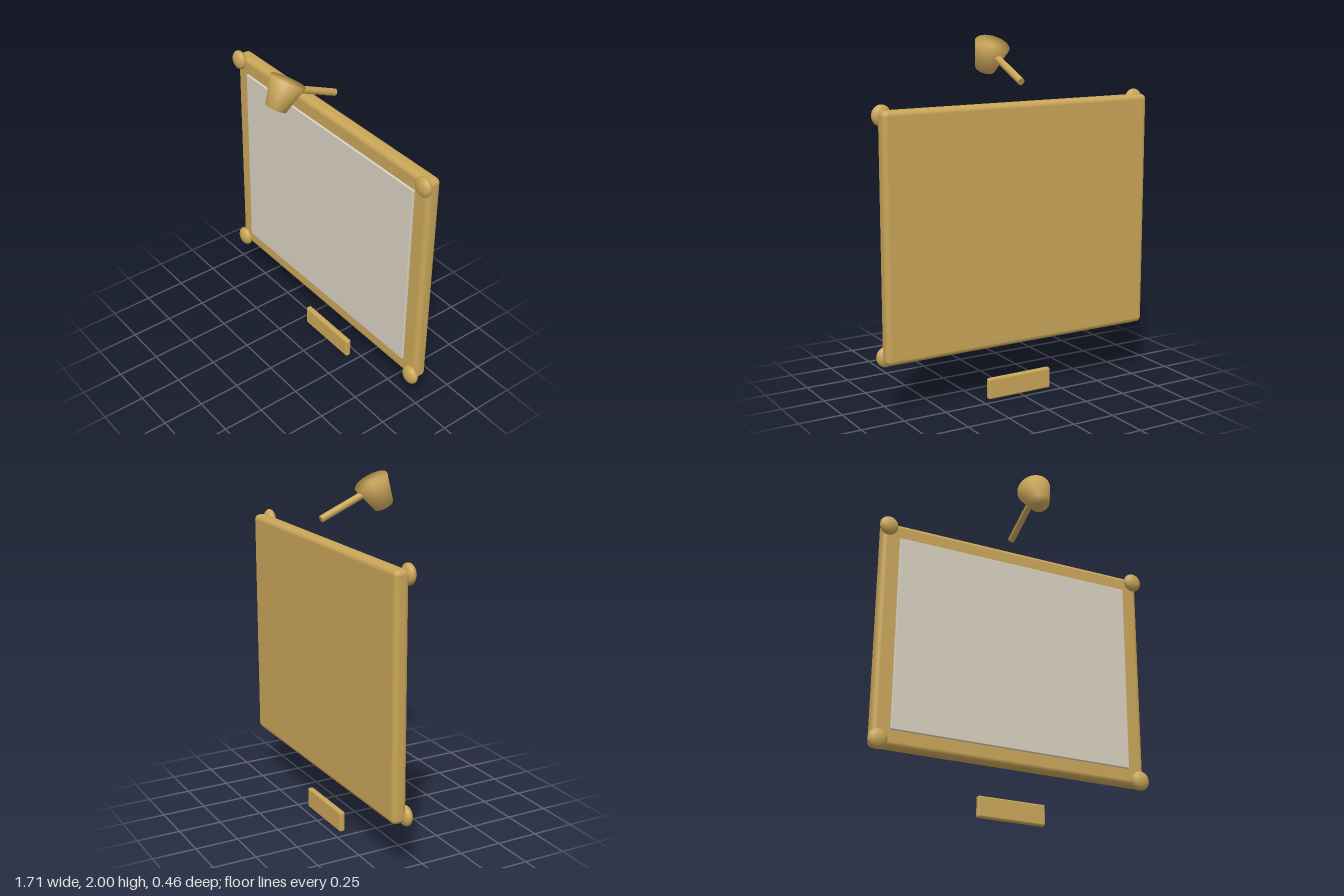
import * as THREE from 'three';
import { RoundedBoxGeometry } from 'three/addons/geometries/RoundedBoxGeometry.js';

export function createModel() {
  const group = new THREE.Group();
  const gold = new THREE.MeshStandardMaterial({ name: 'gold', color: 0xc9a558 });
  const canvasColor = new THREE.MeshStandardMaterial({ name: 'canvas', color: 0xd8d0c0 });

  const add = (name, geometry, material, x, y, z) => {
    const mesh = new THREE.Mesh(geometry, material);
    mesh.name = name;
    mesh.position.set(x, y, z);
    group.add(mesh);
    return mesh;
  };

  // Rounded frame slab with the picture panel set slightly proud of it
  add('frame', new RoundedBoxGeometry(1.664, 1.352, 0.084, 4, 0.03), gold, 0, 0.98, -0.191);
  add('canvas', new RoundedBoxGeometry(1.46, 1.16, 0.04, 2, 0.005), canvasColor, 0, 0.98, -0.157);

  // Flattened corner knobs
  const knob = new THREE.SphereGeometry(1, 24, 16);
  for (const x of [-0.8, 0.8]) {
    for (const y of [0.335, 1.625]) {
      add('cornerKnob', knob, gold, x, y, -0.141).scale.set(0.055, 0.057, 0.032);
    }
  }

  // Name plate below the frame
  add('plaque', new RoundedBoxGeometry(0.404, 0.12, 0.034, 3, 0.01), gold, 0, 0.06, -0.191);

  // Picture lamp: slanted arm and tapered shade with softened rims
  const arm = add('lampArm', new THREE.CylinderGeometry(0.02, 0.02, 0.28, 16), gold, 0, 1.82, -0.08);
  arm.rotation.x = 1.159;
  const profile = [[0, -0.079], [0.058, -0.079], [0.1, 0.079], [0, 0.079]];
  const shadeGeometry = new THREE.LatheGeometry(profile.map(([r, y]) => new THREE.Vector2(r, y)), 32);
  const shade = add('lampShade', shadeGeometry, gold, 0, 1.877, 0.141);
  shade.rotation.x = -0.53;

  return group;
}
